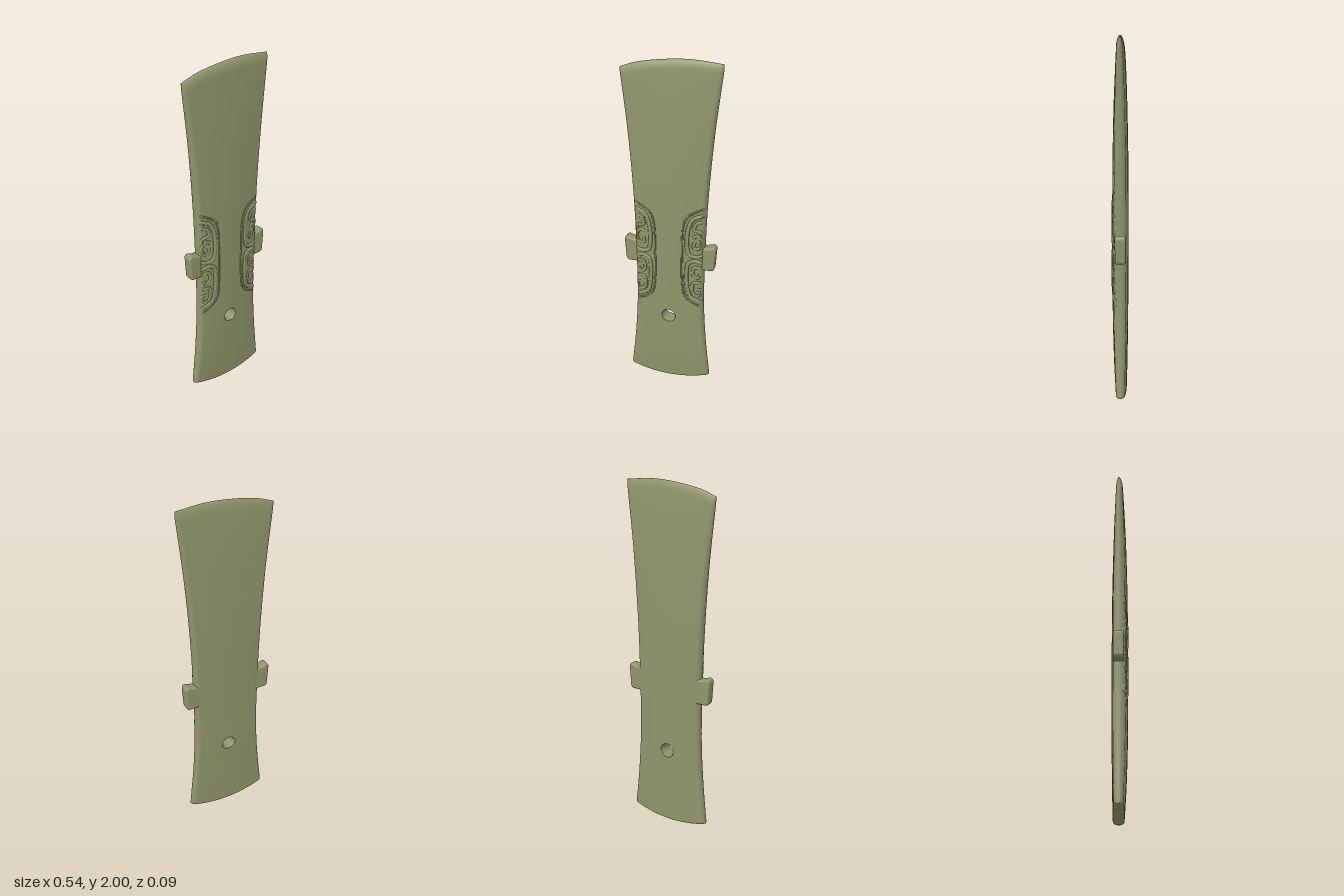
import * as THREE from 'three';
import { mergeVertices } from 'three/addons/utils/BufferGeometryUtils.js';

const HOLE = { y: 0.468, r: 0.042, s: 0.206, t: 0.233, dt: 0.0212 };
const MID_Z = -0.004;

// Piecewise smooth lookup through a few [position, value] pairs.
function profile(pairs) {
  return (v) => {
    let i = 0;
    while (i < pairs.length - 2 && v > pairs[i + 1][0]) i++;
    const at = (k) => pairs[Math.max(0, Math.min(pairs.length - 1, k))];
    const [a, b] = [at(i), at(i + 1)];
    const d = b[0] - a[0];
    const u = THREE.MathUtils.clamp((v - a[0]) / d, 0, 1);
    const slope = (k) => (at(k + 1)[1] - at(k - 1)[1]) / (at(k + 1)[0] - at(k - 1)[0]);
    const m0 = slope(i) * d, m1 = slope(i + 1) * d, u2 = u * u, u3 = u2 * u;
    return (2 * u3 - 3 * u2 + 1) * a[1] + (u3 - 2 * u2 + u) * m0 + (3 * u2 - 2 * u3) * b[1] + (u3 - u2) * m1;
  };
}

const halfWidth = profile([[0, 0.25], [0.3, 0.217], [0.55, 0.201], [0.8, 0.2], [1.2, 0.209], [1.6, 0.235], [1.96, 0.273]]);
const frontDepth = profile([[0, 0.024], [0.2, 0.036], [0.5, 0.044], [1.2, 0.045], [1.6, 0.038], [1.85, 0.027], [2, 0.018]]);
const backDepth = profile([[0, 0.036], [0.2, 0.04], [0.5, 0.044], [1.2, 0.044], [1.6, 0.037], [1.85, 0.028], [2, 0.018]]);
const topEdge = profile([[-1, 1.935], [-0.6, 1.97], [0, 1.995], [0.45, 2], [1, 1.988]]);
const bottomEdge = (s) => 0.04 * s * s;

const roundOff = (d, radius) => {
  const q = 1 - Math.min(Math.max(d, 0) / radius, 1);
  return Math.sqrt(Math.max(0, 1 - q * q));
};

// Height of the lens-shaped face; side is 1 for front, -1 for back.
function faceZ(x, y, side) {
  const w = halfWidth(y), s = THREE.MathUtils.clamp(x / w, -1, 1);
  const z = side > 0 ? frontDepth(y) * (1 - 0.42 * s * s) : -backDepth(y) * (1 - 0.25 * s * s);
  const edge = roundOff((1 - Math.abs(s)) * w, 0.02)
    * roundOff(topEdge(s) - y, 0.05) * roundOff(y - bottomEdge(s), 0.014);
  return MID_Z + (z - MID_Z) * edge;
}

// Grid lines between breakpoints given as [start, divisions, start, divisions, ..., end].
function lines(spec) {
  const out = [];
  for (let i = 0; i + 2 < spec.length; i += 2)
    for (let k = 0; k < spec[i + 1]; k++) out.push(spec[i] + (spec[i + 2] - spec[i]) * k / spec[i + 1]);
  return [...out, spec[spec.length - 1]];
}

function bladeGeometry() {
  const h = HOLE;
  const S = lines([-1, 4, -0.99, 4, -0.9, 6, -2 * h.s, 4, -h.s, 8, h.s, 4, 2 * h.s, 6, 0.9, 4, 0.99, 4, 1]);
  const T = lines([0, 4, 0.002, 4, 0.01, 10, h.t - 2 * h.dt, 4, h.t - h.dt, 8, h.t + h.dt, 4, h.t + 2 * h.dt, 36, 0.97, 6, 0.995, 5, 1]);
  const pos = [], index = [];
  const ring = (s, t) => Math.max(Math.abs(s / h.s), Math.abs((t - h.t) / h.dt));
  for (const side of [1, -1]) {
    const base = pos.length / 3;
    T.forEach((t) => S.forEach((s) => {
      let y = THREE.MathUtils.lerp(bottomEdge(s), topEdge(s), t);
      let x = s * halfWidth(y);
      // Bend the square of grid lines around the hole into a circle.
      const m = ring(s, t), a = s / h.s, b = (t - h.t) / h.dt, l = Math.hypot(a, b) || 1;
      const k = THREE.MathUtils.clamp(m - 1, 0, 1);
      x = THREE.MathUtils.lerp(h.r * a * m / l, x, k);
      y = THREE.MathUtils.lerp(h.y + h.r * b * m / l, y, k);
      pos.push(x, y, faceZ(x, y, side));
    }));
    for (let j = 0; j < T.length - 1; j++) for (let i = 0; i < S.length - 1; i++) {
      if (ring((S[i] + S[i + 1]) / 2, (T[j] + T[j + 1]) / 2) < 1) continue;
      const a = base + j * S.length + i, b = a + 1, c = b + S.length, d = a + S.length;
      index.push(...(side > 0 ? [a, b, c, a, c, d] : [a, c, b, a, d, c]));
    }
  }
  let g = new THREE.BufferGeometry();
  g.setAttribute('position', new THREE.Float32BufferAttribute(pos, 3));
  g.setIndex(index);
  g = mergeVertices(g, 1e-5);
  g.computeVertexNormals();
  return g;
}

// Flattened cord that follows the front face.
function reliefGeometry(points, radius, mirror) {
  const pts = points.map(([x, y]) => new THREE.Vector3(x * mirror, y, 0));
  const curve = new THREE.CatmullRomCurve3(pts, false, 'centripetal');
  const g = new THREE.TubeGeometry(curve, points.length * 7, radius, 8, false);
  const p = g.attributes.position;
  for (let i = 0; i < p.count; i++) {
    const x = p.getX(i), y = p.getY(i);
    p.setZ(i, p.getZ(i) * 0.55 + faceZ(x, y, 1));
  }
  g.computeVertexNormals();
  return g;
}

// Side lug with softened corners.
function lugGeometry() {
  const b = 0.012;
  const shape = new THREE.Shape();
  shape.moveTo(0.17, 0.80 + b);
  shape.lineTo(0.238, 0.80 + b);
  shape.quadraticCurveTo(0.246, 0.80 + b, 0.247, 0.82);
  shape.lineTo(0.254, 0.932);
  shape.quadraticCurveTo(0.254, 0.955 - b, 0.246, 0.955 - b);
  shape.lineTo(0.215, 0.945 - b);
  shape.lineTo(0.17, 0.945 - b);
  const g = new THREE.ExtrudeGeometry(shape, { depth: 0.034, bevelSize: b, bevelThickness: b, bevelSegments: 4, curveSegments: 6 });
  g.translate(0, 0, -0.023);
  return g;
}

export function createModel() {
  const group = new THREE.Group();
  const jade = new THREE.MeshStandardMaterial({ color: 0x90966a });
  jade.name = 'olive stone';
  const add = (name, geometry) => {
    const mesh = new THREE.Mesh(geometry, jade);
    mesh.name = name;
    group.add(mesh);
    return mesh;
  };

  add('blade', bladeGeometry());

  // Bore lining, narrowing in the middle
  const bore = [[0.042, 0.0425], [0.038, 0.034], [0.036, 0.02], [0.036, -0.02], [0.038, -0.034], [0.042, -0.0425]];
  const lining = add('boreLining', new THREE.LatheGeometry(bore.map(([r, y]) => new THREE.Vector2(r, y)), 32));
  lining.rotation.x = Math.PI / 2;
  lining.position.y = HOLE.y;

  // Carved scroll panels on both edges
  const reliefs = [
    ['panelBorder', 0.006, [[0.198, 1.195], [0.15, 1.172], [0.105, 1.14], [0.085, 1.08], [0.078, 0.9], [0.08, 0.72], [0.093, 0.63], [0.13, 0.585], [0.193, 0.553]]],
    ['upperBand', 0.012, [[0.195, 1.155], [0.14, 1.13], [0.115, 1.08], [0.106, 0.95], [0.122, 0.9], [0.16, 0.89], [0.193, 0.9]]],
    ['lowerBand', 0.012, [[0.192, 0.85], [0.15, 0.862], [0.115, 0.845], [0.105, 0.79], [0.11, 0.68], [0.125, 0.625], [0.19, 0.583]]],
    ['upperScroll', 0.010, [[0.188, 1.115], [0.155, 1.1], [0.146, 1.06], [0.18, 1.05], [0.19, 1.02]]],
    ['upperCurl', 0.010, [[0.14, 1.015], [0.165, 1.025], [0.188, 0.985], [0.172, 0.945], [0.143, 0.95], [0.148, 0.985]]],
    ['lowerScroll', 0.010, [[0.188, 0.815], [0.15, 0.82], [0.142, 0.77], [0.165, 0.75], [0.182, 0.775]]],
    ['lowerCurl', 0.010, [[0.188, 0.72], [0.145, 0.715], [0.14, 0.66], [0.155, 0.63], [0.184, 0.635], [0.184, 0.67], [0.165, 0.672]]],
  ];
  for (const [side, m] of [['left', 1], ['right', -1]]) {
    for (const [name, r, pts] of reliefs) add(`${side} ${name}`, reliefGeometry(pts, r, m));
    const lug = lugGeometry();
    if (m < 0) {
      // Mirror the lug and restore its face order
      const p = lug.attributes.position;
      for (let i = 0; i < p.count; i++) p.setX(i, -p.getX(i));
      for (let i = 0; i < p.count; i += 3) {
        const v = [1, 2].map((k) => [p.getX(i + k), p.getY(i + k), p.getZ(i + k)]);
        p.setXYZ(i + 1, ...v[1]);
        p.setXYZ(i + 2, ...v[0]);
      }
      lug.computeVertexNormals();
    }
    add(`${side} lug`, lug);
  }
  return group;
}
